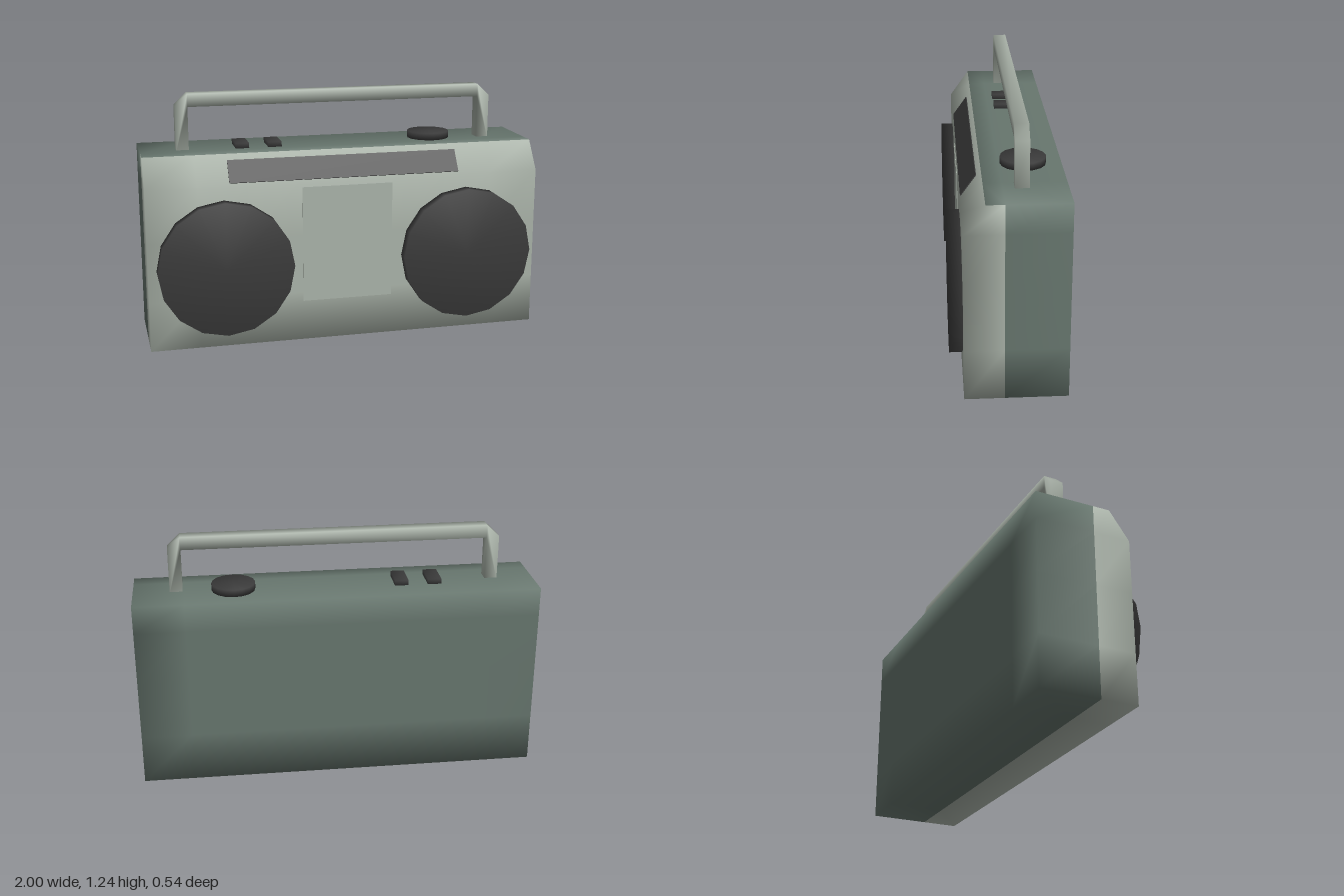
import * as THREE from 'three';
import { mergeVertices } from 'three/addons/utils/BufferGeometryUtils.js';

// Weld a geometry so its normals run smoothly over every edge
function soften(source) {
  source.deleteAttribute('normal');
  source.deleteAttribute('uv');
  const geometry = mergeVertices(source, 1e-4);
  geometry.computeVertexNormals();
  return geometry;
}

export function createModel() {
  const model = new THREE.Group();
  model.name = 'portableStereo';

  const material = (name, color) => {
    const m = new THREE.MeshStandardMaterial({ color });
    m.name = name;
    return m;
  };
  const paleGrey = material('paleGrey', 0xa9b2a8);
  const greyGreen = material('greyGreen', 0x66756d);
  const charcoal = material('charcoal', 0x3a3a3a);

  const add = (name, geometry, mat, x = 0, y = 0, z = 0) => {
    const mesh = new THREE.Mesh(geometry, mat);
    mesh.name = name;
    mesh.position.set(x, y, z);
    model.add(mesh);
    return mesh;
  };

  // Case: a segmented box with its top front edge cut back
  const seam = 0.025;
  const rows = [0, 0.25, 0.55, 0.82, 0.96];
  const depths = [-0.27, seam, 0.21];
  const box = new THREE.BoxGeometry(8, 4, 2, 8, 4, 2);
  const corner = box.attributes.position;
  for (let i = 0; i < corner.count; i++) {
    const row = Math.round(corner.getY(i) + 2);
    const layer = Math.round(corner.getZ(i) + 1);
    const z = row === 4 && layer === 2 ? 0.11 : depths[layer];
    corner.setXYZ(i, corner.getX(i) / 4, rows[row], z);
  }
  const body = soften(box);

  // Front shell and rear shell share the welded surface
  const front = [], rear = [];
  const p = body.attributes.position, index = body.index.array;
  for (let i = 0; i < index.length; i += 3) {
    const tri = [index[i], index[i + 1], index[i + 2]];
    const z = tri.reduce((sum, v) => sum + p.getZ(v), 0) / 3;
    (z > seam ? front : rear).push(...tri);
  }
  body.setIndex([...front, ...rear]);
  body.addGroup(0, front.length, 0);
  body.addGroup(front.length, rear.length, 1);
  add('case', body, [paleGrey, greyGreen]);

  // Cassette door
  add('cassetteDoor', new THREE.BoxGeometry(0.46, 0.59, 0.006), paleGrey, 0, 0.5, 0.21);

  // Tuning display lying on the sloped edge
  const display = add('tuningDisplay', new THREE.BoxGeometry(1.17, 0.123, 0.009), charcoal, -0.005, 0.881, 0.167);
  display.rotation.x = -Math.atan2(0.1, 0.14);

  // Speakers
  for (const side of [-1, 1]) {
    const speaker = new THREE.CylinderGeometry(0.338, 0.338, 0.062, 16);
    speaker.rotateX(Math.PI / 2);
    add(side > 0 ? 'leftSpeaker' : 'rightSpeaker', soften(speaker), charcoal, side * 0.62, 0.412, 0.241);
  }

  // Buttons and dial on top
  for (const x of [-0.491, -0.325]) {
    add('button', soften(new THREE.BoxGeometry(0.068, 0.035, 0.14)), charcoal, x, 0.968, -0.075);
  }
  add('dial', soften(new THREE.CylinderGeometry(0.108, 0.108, 0.036, 16)), charcoal, 0.508, 0.977, -0.09);

  // Carrying handle with cut corners
  const outline = [
    [-0.82, 0.95], [-0.757, 0.95], [-0.757, 1.175], [0.757, 1.175], [0.757, 0.95],
    [0.82, 0.95], [0.82, 1.18], [0.757, 1.24], [-0.757, 1.24], [-0.82, 1.18],
  ].map(([x, y]) => new THREE.Vector2(x, y));
  const handle = new THREE.ExtrudeGeometry(new THREE.Shape(outline), { depth: 0.066, bevelEnabled: false });
  add('handle', soften(handle), paleGrey, 0, 0, -0.095);

  return model;
}
